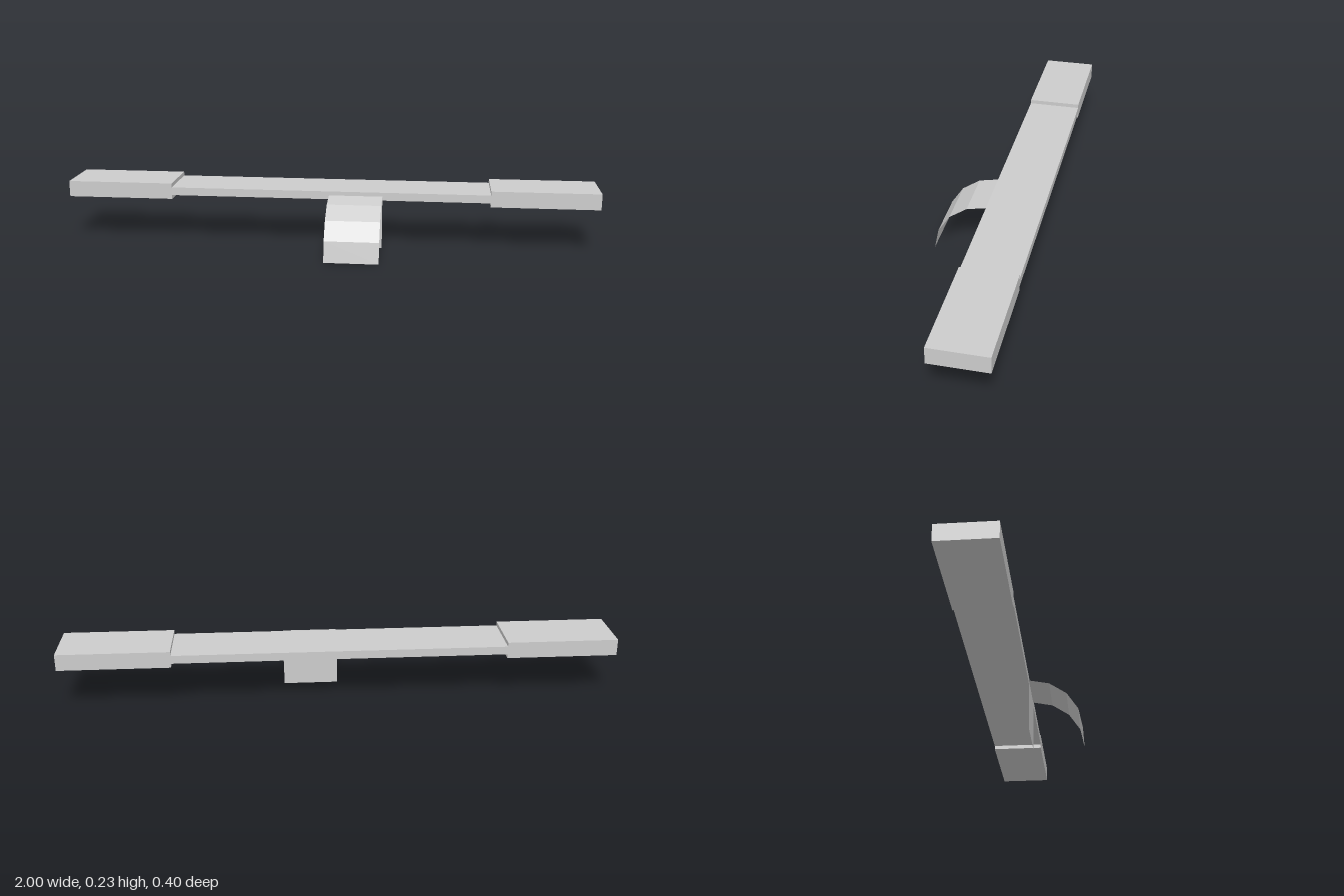
import * as THREE from 'three';

export function createModel() {
  const model = new THREE.Group();

  const grey = new THREE.MeshStandardMaterial({ color: 0xcccccc, flatShading: true, side: THREE.DoubleSide });
  grey.name = 'light grey';

  const add = (name, geometry, x, y, z) => {
    const mesh = new THREE.Mesh(geometry, grey);
    mesh.name = name;
    mesh.position.set(x, y, z);
    model.add(mesh);
  };

  // Long bar: thin middle with a thicker block at each end
  add('middleBar', new THREE.BoxGeometry(1.2, 0.03, 0.2), 0, 0.2, -0.1);
  for (const [name, side] of [['leftEnd', 1], ['rightEnd', -1]]) {
    add(name, new THREE.BoxGeometry(0.4, 0.06, 0.2), side * 0.8, 0.2, -0.1);
  }

  // Open quarter-round strip in four facets, falling from the bar to the ground
  const arc = new THREE.CylinderGeometry(0.2, 0.2, 0.2, 4, 1, true, 0, Math.PI / 2);
  arc.rotateZ(Math.PI / 2);
  add('curvedStrip', arc, 0.1, 0, 0);

  // Flat upright sheet behind the strip
  add('backPanel', new THREE.PlaneGeometry(0.2, 0.2), 0.1, 0.1, 0);

  return model;
}
